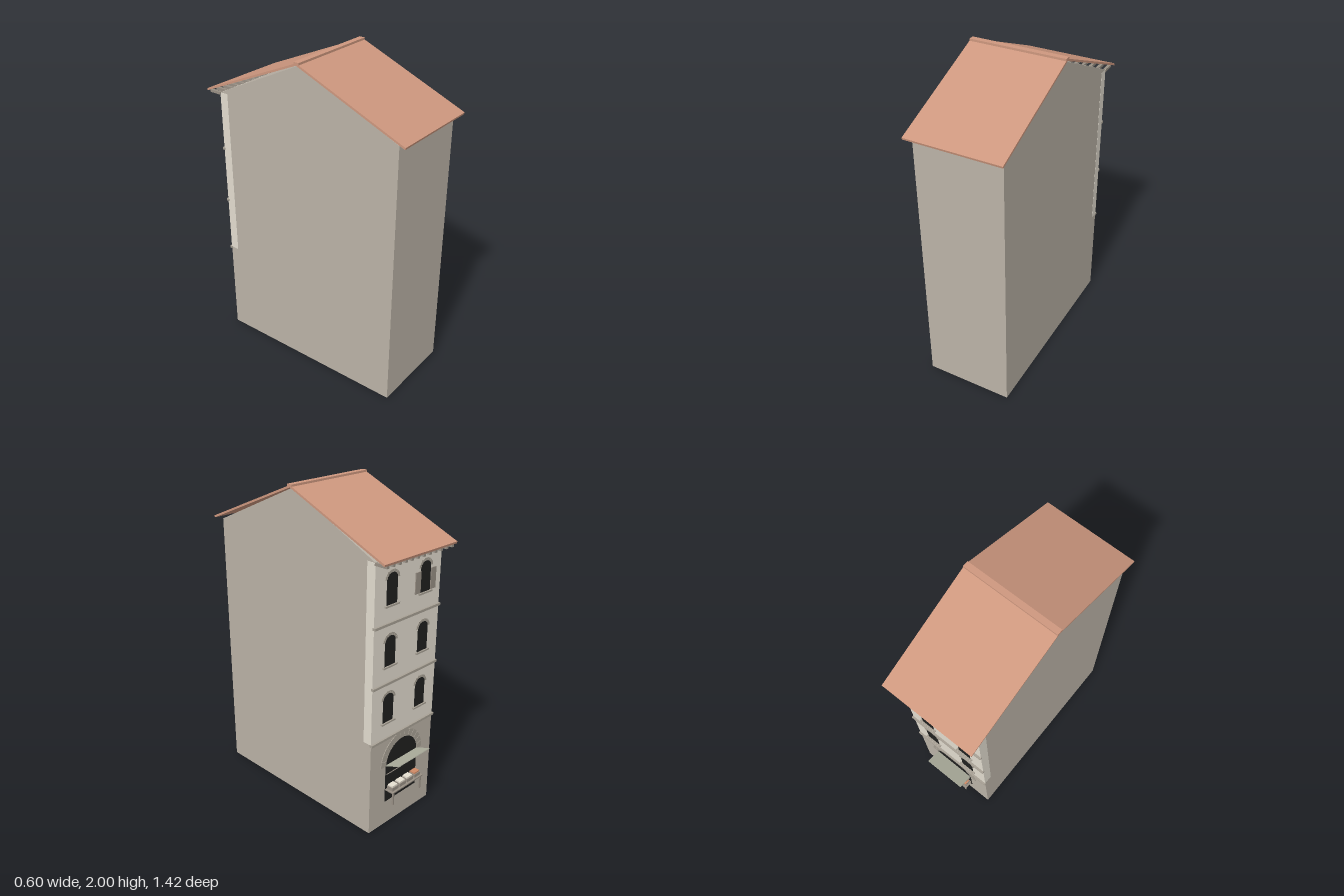
import * as THREE from 'three';

const mat = (name, color) => Object.assign(new THREE.MeshStandardMaterial({ color }), { name });

export function createModel() {
  const stone = mat('stone', 0xbab2a6), plaster = mat('plaster', 0xe2dccf), tile = mat('roof tile', 0xcd977e);
  const trim = mat('trim stone', 0xa8a195), dark = mat('dark opening', 0x20201f);
  const wood = mat('weathered wood', 0x988f84), board = mat('awning board', 0xb0b1a0);
  const cream = mat('pale goods', 0xe6dfd0), orange = mat('orange goods', 0xcf8a66);

  const model = new THREE.Group();
  model.name = 'townhouse';
  const add = (parent, name, geo, material, x = 0, y = 0, z = 0) => {
    const m = new THREE.Mesh(geo, material);
    m.name = name;
    m.position.set(x, y, z);
    parent.add(m);
    return m;
  };
  const box = (parent, name, material, w, h, d, x, y, z) =>
    add(parent, name, new THREE.BoxGeometry(w, h, d), material, x, y, z);
  // Extrudes a (z, y) outline across the width of the house
  const across = (name, material, pts, width) => {
    const s = new THREE.Shape(pts.map(p => new THREE.Vector2(...p)));
    const g = new THREE.ExtrudeGeometry(s, { depth: width, bevelEnabled: false });
    g.translate(0, 0, -width / 2).rotateY(-Math.PI / 2);
    return add(model, name, g, material);
  };

  // Main walls with gables
  across('walls', stone, [[-0.605, 0], [0.658, 0], [0.658, 1.688], [0.01, 1.978], [-0.605, 1.688]], 0.549);
  // Plastered upper facade, wrapping the corners
  box(model, 'upperFacade', plaster, 0.551, 1.078, 0.057, 0, 1.149, -0.5775);

  // Roof slopes and ridge cap
  across('frontRoof', tile, [[0.708, 1.69], [0.711, 1.702], [0.008, 1.995], [0.008, 1.982]], 0.6);
  across('backRoof', tile, [[-0.687, 1.69], [0.008, 1.982], [0.008, 1.995], [-0.69, 1.702]], 0.6);
  box(model, 'ridgeCap', tile, 0.6, 0.018, 0.036, 0, 1.991, 0.009);

  // Decorated rear facade: local z points outward
  const facade = new THREE.Group();
  facade.name = 'streetFacade';
  facade.position.z = -0.606;
  facade.rotation.y = Math.PI;
  model.add(facade);

  // Opening with straight jambs and a curved head
  const opening = (w, h, rise) => {
    const s = new THREE.Shape();
    s.moveTo(-w / 2, 0);
    s.lineTo(w / 2, 0);
    s.lineTo(w / 2, h - rise);
    s.absellipse(0, h - rise, w / 2, rise, 0, Math.PI, false);
    s.closePath();
    return new THREE.ExtrudeGeometry(s, { depth: 0.003, bevelEnabled: false, curveSegments: 14 });
  };
  // Ring of wedge stones around an arched head
  const archStones = (parent, rx, ry, thick, count, y, depth) => {
    for (let i = 0; i < count; i++) {
      const a = (i + 0.04) / count * Math.PI, b = (i + 0.96) / count * Math.PI;
      const p = (t, k) => new THREE.Vector2(Math.cos(t) * (rx + k), Math.sin(t) * (ry + k));
      const s = new THREE.Shape([p(a, 0), p(a, thick), p(b, thick), p(b, 0)]);
      add(parent, 'archStone', new THREE.ExtrudeGeometry(s, { depth, bevelEnabled: false }), trim, 0, y, -0.001);
    }
  };

  // Floor bands
  for (const y of [0.605, 0.963, 1.322]) box(facade, 'floorBand', trim, 0.556, 0.015, 0.02, 0, y, 0.002);

  // Two windows on each upper floor
  for (const y of [0.715, 1.07, 1.43]) {
    for (const x of [-0.14, 0.14]) {
      const win = new THREE.Group();
      win.name = 'window';
      win.position.set(x, y, 0);
      facade.add(win);
      add(win, 'pane', opening(0.085, 0.18, 0.035), dark);
      archStones(win, 0.043, 0.036, 0.016, 7, 0.145, 0.005);
      box(win, 'sill', trim, 0.115, 0.01, 0.014, 0, -0.004, 0.005);
      if (y > 1.4 && x > 0) {
        for (const s of [-1, 1]) box(win, 'shutter', wood, 0.044, 0.125, 0.006, s * 0.066, 0.066, 0.004);
      }
    }
  }

  // Arched shop front
  add(facade, 'shopOpening', opening(0.28, 0.39, 0.14), dark, 0, 0.16, -0.001);
  archStones(facade, 0.14, 0.14, 0.046, 13, 0.41, 0.004);

  // Tilted awning with struts
  const awning = box(facade, 'awning', board, 0.28, 0.005, 0.108, 0, 0.434, 0.05);
  awning.rotation.x = -Math.atan2(0.04, 0.1);
  for (const x of [-0.13, 0.13]) {
    const strut = box(facade, 'strut', wood, 0.006, 0.005, 0.145, x, 0.4, 0.05);
    strut.rotation.x = -Math.atan2(0.105, 0.1);
  }

  // Market table
  box(facade, 'tableTop', wood, 0.28, 0.008, 0.062, 0, 0.247, 0.031);
  for (const x of [-0.125, 0.125]) {
    box(facade, 'tableLeg', wood, 0.011, 0.085, 0.009, x, 0.2025, 0.053);
  }
  // Crates of goods
  [-0.102, -0.034, 0.034, 0.102].forEach((x, i) => {
    box(facade, 'crate', wood, 0.056, 0.022, 0.044, x, 0.262, 0.028);
    box(facade, 'goods', i === 3 ? orange : cream, 0.047, 0.012, 0.036, x, 0.276, 0.027);
  });

  // Rafter tails under the eave
  for (let i = 0; i < 12; i++) {
    box(facade, 'rafterTail', wood, 0.018, 0.016, 0.082, -0.27 + i * 0.54 / 11, 1.682, 0.038);
  }
  return model;
}
